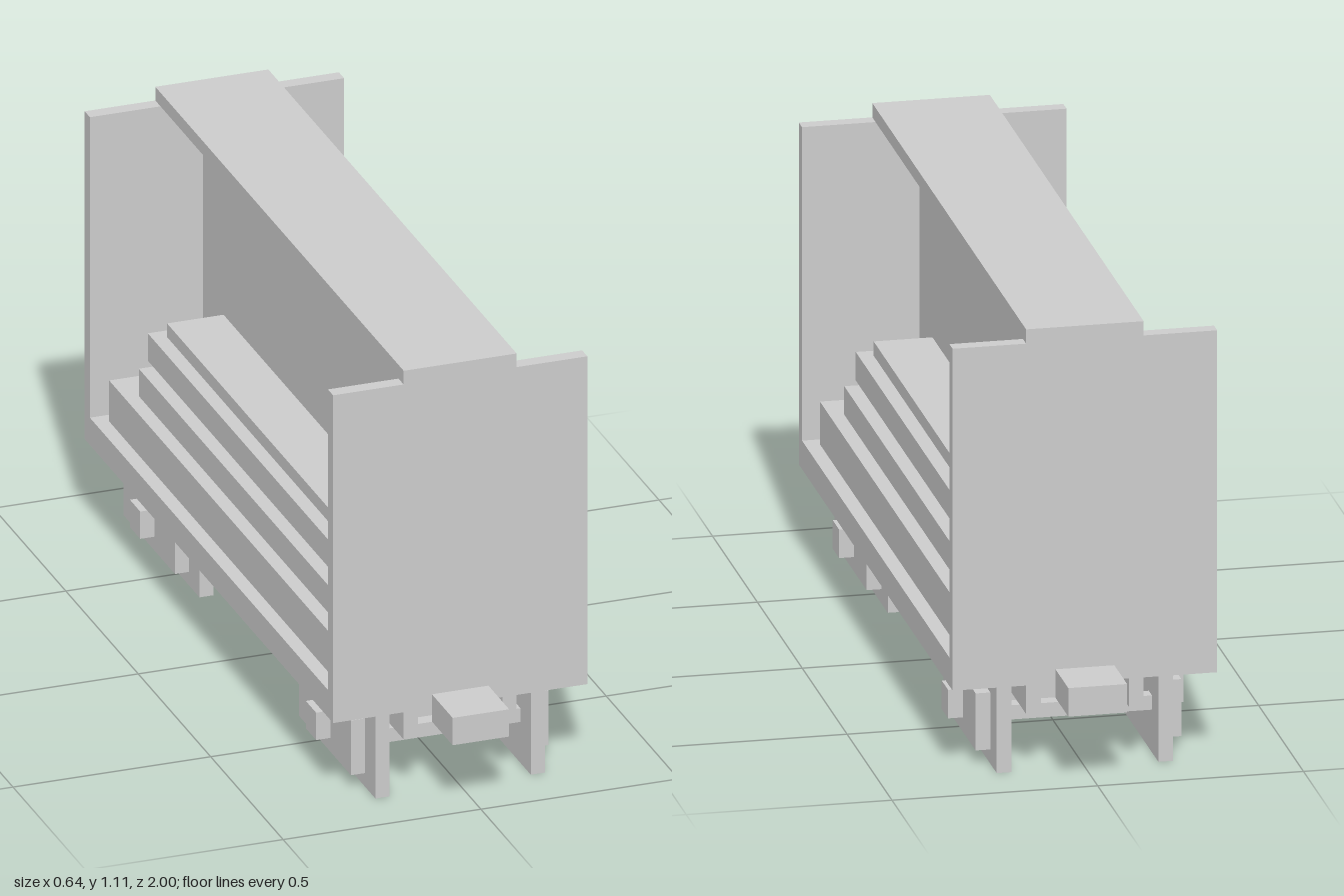
import * as THREE from 'three';

const U = 1 / 28; // modelling grid: the wagon is 56 units long
const material = new THREE.MeshStandardMaterial({ color: 0xcccccc, flatShading: true });

// Box given by its extents on the grid
function box(name, [x0, x1], [y0, y1], [z0, z1]) {
  const geometry = new THREE.BoxGeometry((x1 - x0) * U, (y1 - y0) * U, (z1 - z0) * U);
  geometry.translate((x0 + x1) / 2 * U, (y0 + y1) / 2 * U, (z0 + z1) / 2 * U);
  const mesh = new THREE.Mesh(geometry, material);
  mesh.name = name;
  return mesh;
}

// Half of the wagon: +x cargo stack and +z end with its bogie
function createHalf(name) {
  const half = new THREE.Group();
  half.name = name;

  // End wall and coupler
  half.add(box('endWall', [-9, 9], [6, 30], [23, 24]));
  half.add(box('coupler', [-2, 2], [5, 7], [24, 28]));

  // Stacked cargo stepping in towards the centre wall
  const layers = [
    { width: 8, y: [8, 11], z: [-22, 22] },
    { width: 7, y: [11, 13], z: [-21, 19] },
    { width: 6, y: [13, 15], z: [-20, 20] },
    { width: 5, y: [15, 16], z: [-19, 19] },
  ];
  for (const { width, y, z } of layers) half.add(box('cargoLayer', [1, width], y, z));

  // Underframe sill
  half.add(box('sill', [3, 4], [4, 6], [-24, 24]));

  // Bogie: side frames, outer panels, axle, pivot and cross rods
  const bogie = new THREE.Group();
  bogie.name = 'bogie';
  for (const s of [-1, 1]) {
    const span = (a, b) => (s > 0 ? [a, b] : [-b, -a]);
    bogie.add(box('sideFrame', span(5, 6), [0, 6], [10, 24]));
    bogie.add(box('outerPanel', span(6, 7), [1, 5], [12, 22]));
  }
  bogie.add(box('axle', [-8, 8], [2, 4], [16, 18]));
  bogie.add(box('pivot', [-2, 2], [4, 6], [15, 19]));
  for (const z of [12, 21]) bogie.add(box('crossRod', [-5, 5], [3, 4], [z, z + 1]));
  half.add(bogie);
  return half;
}

export function createModel() {
  const model = new THREE.Group();
  model.name = 'freightWagon';

  // Deck, centre wall and top beam
  model.add(box('deck', [-9, 9], [6, 8], [-23, 23]));
  model.add(box('centreWall', [-1, 1], [8, 30], [-23, 23]));
  model.add(box('topBeam', [-4, 4], [30, 31], [-24, 24]));

  // The two halves match when turned half a turn
  const front = createHalf('frontHalf');
  const back = createHalf('backHalf');
  back.rotation.y = Math.PI;
  model.add(front, back);
  return model;
}
